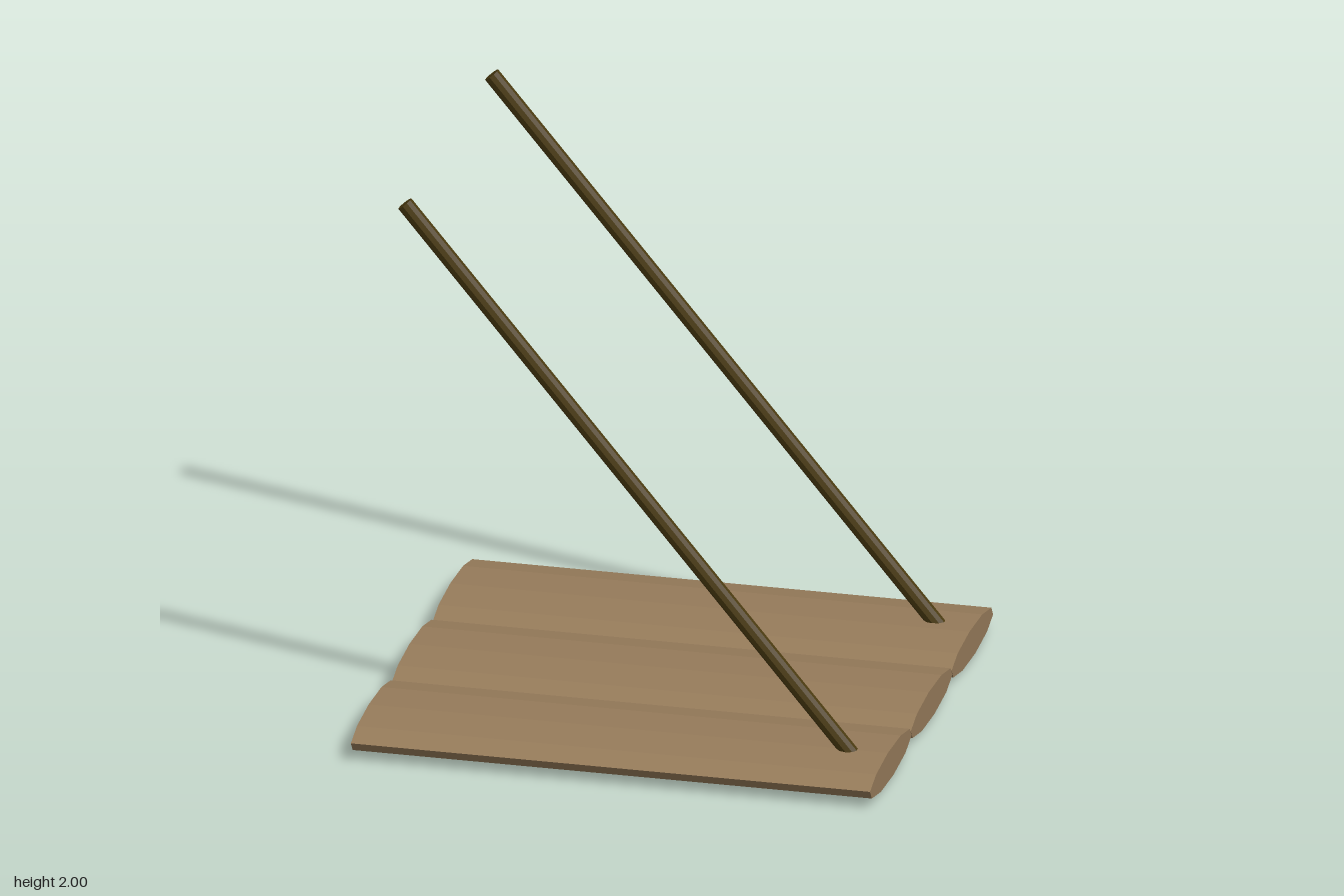
import * as THREE from 'three';

export function createModel() {
  const model = new THREE.Group();
  const plankMat = new THREE.MeshStandardMaterial({ color: 0x967b5a, flatShading: true });
  const poleMat = new THREE.MeshStandardMaterial({ color: 0x4a3a10, flatShading: true });

  // Flattened ten-sided log lying along x, shared by the three planks
  const phase = THREE.MathUtils.degToRad(10);
  const section = new THREE.Shape();
  for (let i = 0; i < 10; i++) {
    const a = phase + (i / 10) * Math.PI * 2;
    const x = -0.298 * Math.cos(a), y = 0.0565 * Math.sin(a);
    if (i === 0) section.moveTo(x, y);
    else section.lineTo(x, y);
  }
  section.closePath();
  const plankGeo = new THREE.ExtrudeGeometry(section, { depth: 1.84, bevelEnabled: false });
  plankGeo.translate(0, 0, -0.92).rotateY(Math.PI / 2);

  ['backPlank', 'middlePlank', 'frontPlank'].forEach((name, i) => {
    const plank = new THREE.Mesh(plankGeo, plankMat);
    plank.name = name;
    plank.position.set(0, 0.06, (i - 1) * 0.576);
    model.add(plank);
  });

  // Two slanted poles set into the outer planks
  const foot = new THREE.Vector3(0.855, 0.02, 0);
  const tip = new THREE.Vector3(-0.793, 1.982, 0);
  const along = tip.clone().sub(foot);
  const poleGeo = new THREE.CylinderGeometry(0.029, 0.029, along.length(), 10);
  for (const side of [-1, 1]) {
    const pole = new THREE.Mesh(poleGeo, poleMat);
    pole.name = side > 0 ? 'frontPole' : 'backPole';
    pole.position.copy(foot).add(tip).multiplyScalar(0.5).setZ(side * 0.613);
    pole.quaternion.setFromUnitVectors(new THREE.Vector3(0, 1, 0), along.clone().normalize());
    model.add(pole);
  }
  return model;
}
